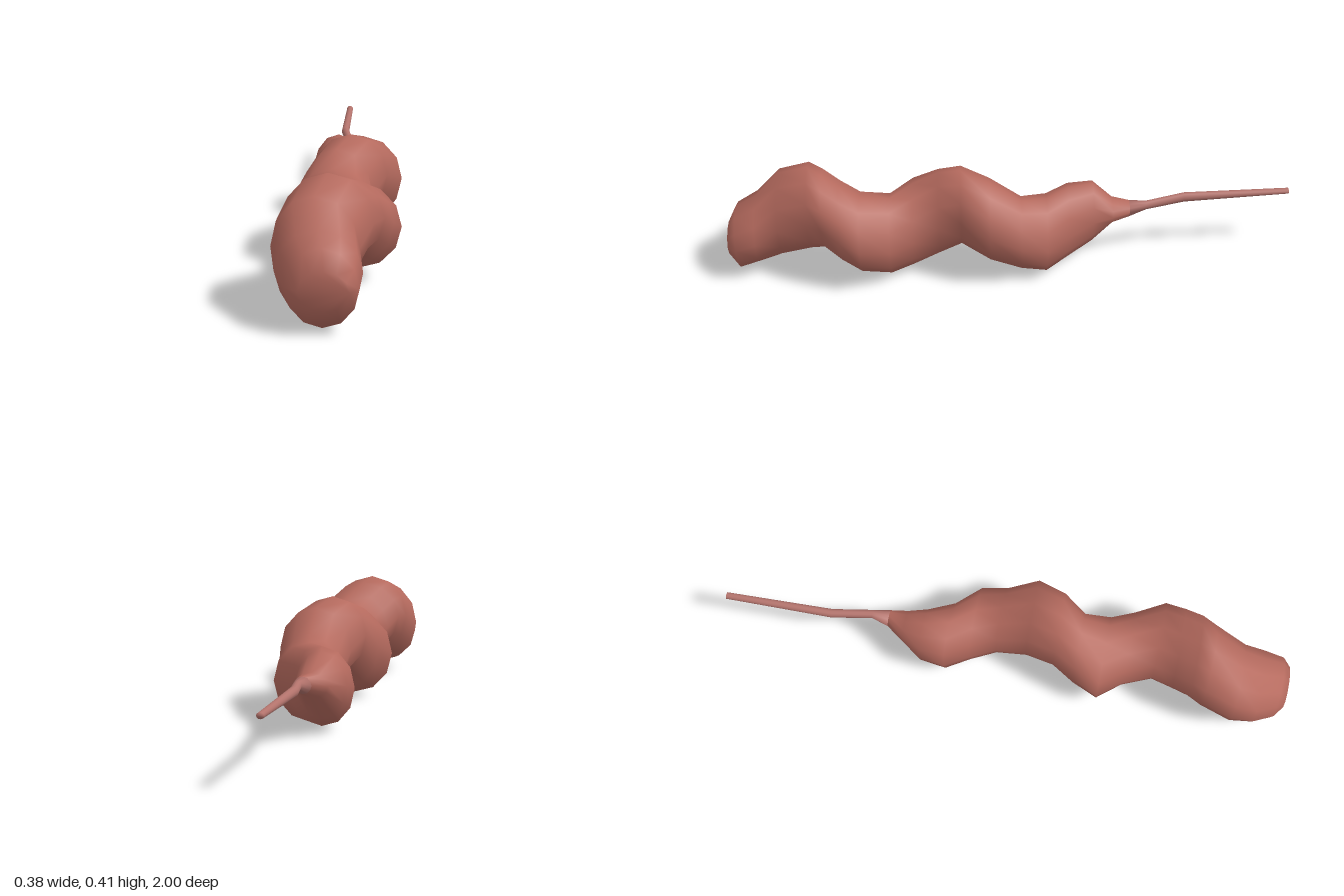
import * as THREE from 'three';

const SIDES = 12;

// Cross-sections from front to back: [z, xMin, xMax, yMin, yMax]
const bodyRings = [
  [1.0, -0.09, 0.06, 0.08, 0.2],
  [0.97, -0.13, 0.085, 0.02, 0.26],
  [0.9, -0.17, 0.09, 0.04, 0.29],
  [0.82, -0.19, 0.075, 0.055, 0.37],
  [0.71, -0.17, 0.11, 0.1, 0.41],
  [0.66, -0.15, 0.14, 0.125, 0.39],
  [0.6, -0.12, 0.165, 0.085, 0.36],
  [0.53, -0.09, 0.185, 0.05, 0.33],
  [0.43, -0.12, 0.14, 0.01, 0.3],
  [0.35, -0.19, 0.1, 0.012, 0.325],
  [0.26, -0.16, 0.075, 0.05, 0.37],
  [0.18, -0.13, 0.12, 0.12, 0.4],
  [0.08, -0.1, 0.165, 0.075, 0.37],
  [-0.03, -0.09, 0.14, 0.025, 0.29],
  [-0.12, -0.13, 0.13, 0, 0.28],
  [-0.2, -0.18, 0.05, 0.008, 0.285],
  [-0.29, -0.175, 0, 0.055, 0.285],
  [-0.36, -0.13, -0.015, 0.14, 0.225],
  [-0.42, -0.09, -0.03, 0.165, 0.223],
];
const tailRings = [
  [-0.42, -0.09, -0.03, 0.165, 0.223],
  [-0.48, -0.075, -0.045, 0.19, 0.222],
  [-0.62, -0.105, -0.075, 0.2, 0.235],
  [-1.0, -0.115, -0.09, 0.218, 0.238],
];

// Skins a row of elliptical rings and closes both ends
function loft(rings) {
  const pos = [], index = [];
  for (const [z, x0, x1, y0, y1] of rings) {
    for (let j = 0; j < SIDES; j++) {
      const a = (j / SIDES) * Math.PI * 2;
      pos.push((x0 + x1) / 2 + Math.cos(a) * (x1 - x0) / 2,
        (y0 + y1) / 2 + Math.sin(a) * (y1 - y0) / 2, z);
    }
  }
  const last = (rings.length - 1) * SIDES;
  for (let i = 0; i < last; i += SIDES) {
    for (let j = 0; j < SIDES; j++) {
      const k = (j + 1) % SIDES;
      const a = i + j, b = a + SIDES, c = i + k, d = c + SIDES;
      index.push(a, b, c, b, d, c);
    }
  }
  for (let j = 1; j < SIDES - 1; j++) {
    index.push(0, j, j + 1, last, last + j + 1, last + j);
  }
  const g = new THREE.BufferGeometry();
  g.setAttribute('position', new THREE.Float32BufferAttribute(pos, 3));
  g.setIndex(index);
  g.computeVertexNormals();
  return g;
}

function part(name, rings, color) {
  const mesh = new THREE.Mesh(loft(rings), new THREE.MeshStandardMaterial({ color }));
  mesh.name = name;
  return mesh;
}

export function createModel() {
  const group = new THREE.Group();
  group.name = 'twistedSausage';
  // Corkscrew body
  group.add(part('twistedBody', bodyRings, 0xb56a5e));
  // Thin stem trailing off the back
  group.add(part('thinTail', tailRings, 0xb3736c));
  return group;
}
